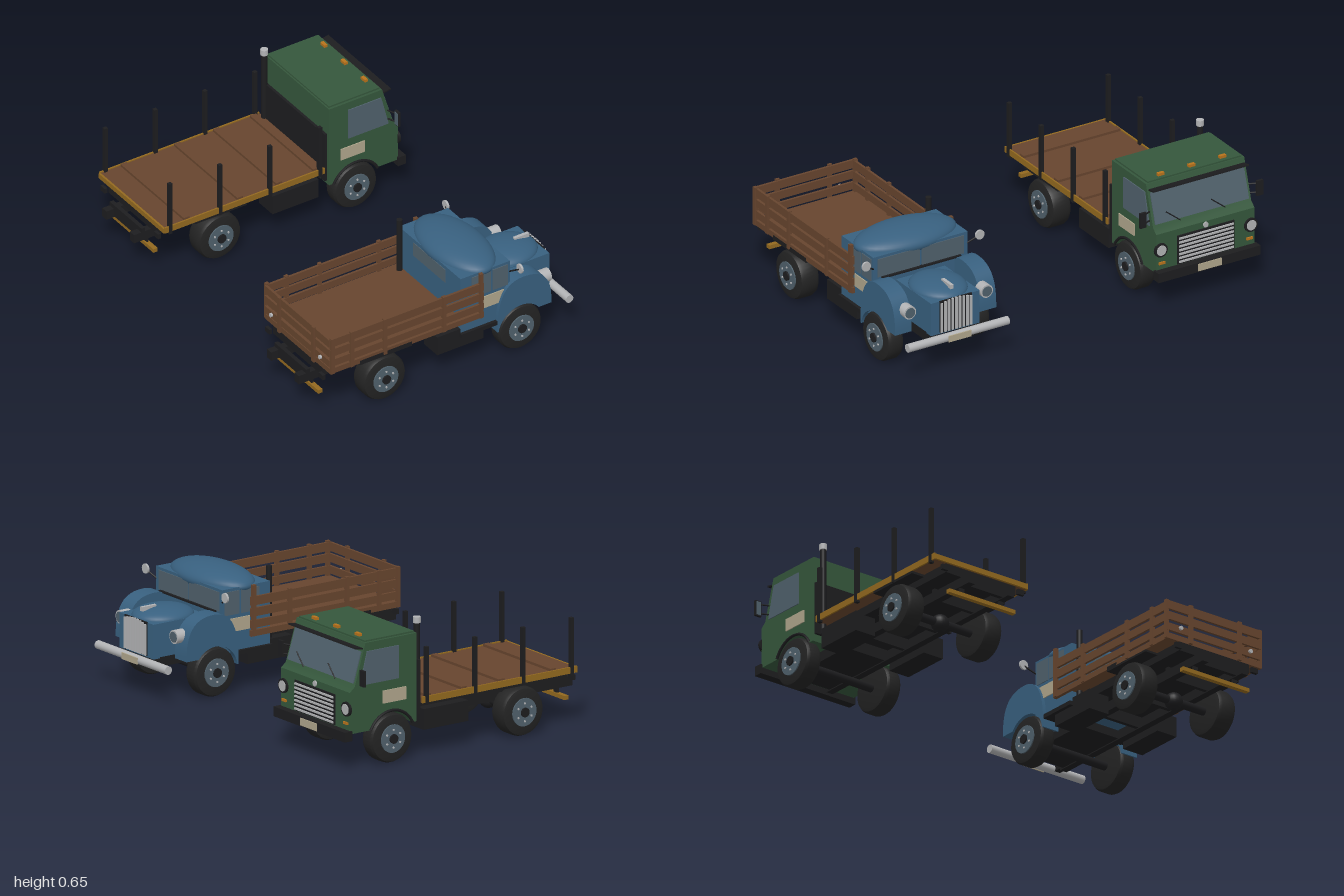
import * as THREE from 'three';
import { toCreasedNormals } from 'three/addons/utils/BufferGeometryUtils.js';

const mat = (name, color) => Object.assign(new THREE.MeshStandardMaterial({ color }), { name });
const M = {
  blue: mat('bluePaint', 0x38607f), green: mat('greenPaint', 0x35573c), wood: mat('wood', 0x67452e),
  black: mat('blackMetal', 0x1d1d1f), tire: mat('tireRubber', 0x232323), glass: mat('glass', 0x50616c),
  chrome: mat('chrome', 0xb2b3b5), cream: mat('creamPlate', 0xb0a68c), gold: mat('ochreTrim', 0x93691f),
  amber: mat('amberLamp', 0xb8731c),
};
const SIDES = [-1, 1];
const WHEEL_Y = 0.115, REAR_X = -0.325, FRONT_X = 0.41;

function add(parent, name, geo, material) {
  const m = new THREE.Mesh(geo, material);
  m.name = name;
  parent.add(m);
  return m;
}
// Box given by its limits on each axis
function box(parent, name, material, x0, x1, y0, y1, z0, z1) {
  const m = add(parent, name, new THREE.BoxGeometry(x1 - x0, y1 - y0, Math.abs(z1 - z0)), material);
  m.position.set((x0 + x1) / 2, (y0 + y1) / 2, (z0 + z1) / 2);
  return m;
}
// Cylinder along the chosen axis
function rod(parent, name, material, axis, r, len, x, y, z, seg = 20) {
  const geo = new THREE.CylinderGeometry(r, r, len, seg);
  if (axis === 'x') geo.rotateZ(Math.PI / 2);
  if (axis === 'z') geo.rotateX(Math.PI / 2);
  const m = add(parent, name, geo, material);
  m.position.set(x, y, z);
  return m;
}
// Thin rod between two points
function strut(parent, name, material, a, b, r = 0.004) {
  const p = new THREE.Vector3(...a), q = new THREE.Vector3(...b);
  return add(parent, name, new THREE.TubeGeometry(new THREE.LineCurve3(p, q), 1, r, 6), material);
}
// Side profile extruded across z
function profile(parent, name, material, shape, z0, z1) {
  const geo = new THREE.ExtrudeGeometry(shape, { depth: z1 - z0, bevelEnabled: false, curveSegments: 16 });
  geo.translate(0, 0, z0);
  return add(parent, name, toCreasedNormals(geo, 0.6), material);
}
function polygon(points) {
  return new THREE.Shape(points.map(p => new THREE.Vector2(...p)));
}
function dome(parent, name, material, x, y, rx, ry, rz) {
  const m = add(parent, name, new THREE.SphereGeometry(1, 40, 24), material);
  m.scale.set(rx, ry, rz);
  m.position.set(x, y, 0);
  return m;
}

function tireGeometry(r, w) {
  const h = w / 2;
  const pts = [[0, -h], [r * 0.8, -h], [r * 0.94, -h * 0.9], [r, -h * 0.6], [r, h * 0.6],
    [r * 0.94, h * 0.9], [r * 0.8, h], [0, h]].map(p => new THREE.Vector2(...p));
  return toCreasedNormals(new THREE.LatheGeometry(pts, 40).rotateX(Math.PI / 2), 0.5);
}
// Wheel facing +z, with its outer face at z = 0
function wheel(w) {
  const g = new THREE.Group();
  g.name = 'wheel';
  add(g, 'tire', tireGeometry(0.115, w), M.tire).position.z = -w / 2;
  rod(g, 'rim', M.glass, 'z', 0.066, 0.008, 0, 0, 0.002, 32);
  rod(g, 'hub', M.black, 'z', 0.022, 0.016, 0, 0, 0.006);
  for (let i = 0; i < 6; i++) {
    const a = (i + 0.5) * Math.PI / 3;
    rod(g, 'wheelBolt', M.chrome, 'z', 0.005, 0.008, 0.042 * Math.cos(a), 0.042 * Math.sin(a), 0.006, 8);
  }
  return g;
}

// Frame, axles, wheels, tanks and rear beam shared by both trucks
function chassis(t) {
  for (const s of SIDES) {
    box(t, 'frameRail', M.black, -0.7, 0.62, 0.145, 0.19, s * 0.095, s * 0.13);
    for (const [x, w] of [[REAR_X, 0.1], [FRONT_X, 0.085]]) {
      const wh = wheel(w);
      wh.position.set(x, WHEEL_Y, s * 0.272);
      if (s < 0) wh.rotation.y = Math.PI;
      t.add(wh);
    }
    box(t, 'rearMudguard', M.black, -0.46, -0.18, 0.238, 0.262, s * 0.165, s * 0.268);
    box(t, 'sideTank', M.black, -0.03, 0.22, 0.118, 0.215, s * 0.14, s * 0.25);
    box(t, 'beamBracket', M.black, -0.628, -0.618, 0.115, 0.15, s * 0.1, s * 0.125);
    box(t, 'tailLamp', M.black, -0.64, -0.625, 0.205, 0.23, s * 0.2, s * 0.235);
  }
  for (const x of [REAR_X, FRONT_X]) rod(t, 'axle', M.black, 'z', 0.02, 0.42, x, WHEEL_Y, 0);
  for (const x of [-0.66, -0.45, -0.19, 0.05]) box(t, 'crossMember', M.black, x, x + 0.02, 0.15, 0.21, -0.13, 0.13);
  add(t, 'differential', new THREE.SphereGeometry(0.042, 20, 14), M.black).position.set(REAR_X, WHEEL_Y, 0);
  box(t, 'bedSill', M.black, -0.62, 0.2, 0.205, 0.248, -0.2, 0.2);
  box(t, 'engine', M.black, 0.2, 0.6, 0.15, 0.2, -0.12, 0.12);
  box(t, 'rearBeam', M.gold, -0.635, -0.612, 0.103, 0.122, -0.19, 0.19);
}

function stakeTruck() {
  const t = new THREE.Group();
  t.name = 'stakeBedTruck';
  chassis(t);
  // Slatted wooden bed
  box(t, 'bedFloor', M.wood, -0.62, 0.21, 0.248, 0.276, -0.268, 0.268);
  const slats = [[0.287, 0.323], [0.341, 0.38], [0.393, 0.434]];
  for (const [y0, y1] of slats) {
    for (const s of SIDES) box(t, 'sideSlat', M.wood, -0.62, 0.21, y0, y1, s * 0.256, s * 0.268);
    box(t, 'tailSlat', M.wood, -0.625, -0.613, y0, y1, -0.262, 0.262);
  }
  for (const s of SIDES) {
    for (const x of [-0.61, -0.505, -0.325, -0.005, 0.196]) {
      box(t, 'stake', M.wood, x - 0.009, x + 0.009, 0.25, x > 0.1 ? 0.49 : 0.44, s * 0.258, s * 0.275);
    }
    box(t, 'tailStake', M.wood, -0.633, -0.62, 0.25, 0.44, s * 0.13, s * 0.15);
    rod(t, 'tailLatch', M.chrome, 'x', 0.01, 0.01, -0.632, 0.31, s * 0.2, 10);
  }
  // Rounded cab
  box(t, 'cabBody', M.blue, 0.095, 0.362, 0.19, 0.488, -0.252, 0.252);
  dome(t, 'cabRoof', M.blue, 0.23, 0.482, 0.14, 0.064, 0.262);
  for (const z of [-0.118, 0.118]) box(t, 'windshield', M.glass, 0.36, 0.366, 0.385, 0.475, z - 0.112, z + 0.112);
  box(t, 'rearWindow', M.glass, 0.092, 0.098, 0.4, 0.47, -0.13, 0.13);
  box(t, 'windshieldTrim', M.black, 0.36, 0.378, 0.378, 0.386, -0.21, 0.21);
  for (const s of SIDES) {
    box(t, 'doorWindow', M.glass, 0.155, 0.258, 0.365, 0.475, s * 0.25, s * 0.256);
    box(t, 'ventWindow', M.glass, 0.268, 0.348, 0.365, 0.475, s * 0.25, s * 0.256);
    box(t, 'doorPlate', M.cream, 0.21, 0.33, 0.285, 0.347, s * 0.25, s * 0.257);
    box(t, 'runningBoard', M.black, 0.09, 0.29, 0.175, 0.195, s * 0.17, s * 0.268);
    strut(t, 'mirrorArm', M.black, [0.36, 0.43, s * 0.25], [0.383, 0.465, s * 0.305]);
    rod(t, 'mirror', M.chrome, 'x', 0.023, 0.01, 0.383, 0.467, s * 0.303);
  }
  rod(t, 'exhaustStack', M.black, 'y', 0.014, 0.36, 0.078, 0.37, -0.222);
  // Front fenders with an open wheel arch
  const fender = new THREE.Shape();
  fender.moveTo(0.283, 0.135);
  fender.bezierCurveTo(0.28, 0.3, 0.32, 0.388, 0.42, 0.388);
  fender.bezierCurveTo(0.53, 0.388, 0.578, 0.33, 0.575, 0.19);
  fender.lineTo(0.508, 0.19);
  fender.absarc(FRONT_X, WHEEL_Y, 0.122, 0.66, Math.PI - 0.16, false);
  for (const s of SIDES) {
    profile(t, 'frontFender', M.blue, fender, s > 0 ? 0.182 : -0.27, s > 0 ? 0.27 : -0.182);
    rod(t, 'headlightRim', M.chrome, 'x', 0.032, 0.05, 0.575, 0.298, s * 0.205, 24);
    rod(t, 'headlightLens', M.glass, 'x', 0.025, 0.006, 0.6, 0.298, s * 0.205, 24);
  }
  // Hood, grille and ornament
  box(t, 'hood', M.blue, 0.36, 0.657, 0.185, 0.348, -0.13, 0.13);
  dome(t, 'hoodTop', M.blue, 0.51, 0.345, 0.148, 0.047, 0.13);
  box(t, 'grilleBack', M.black, 0.655, 0.662, 0.192, 0.35, -0.085, 0.085);
  for (let i = 0; i < 9; i++) {
    const z = (i - 4) * 0.0195;
    box(t, 'grilleBar', M.chrome, 0.66, 0.669, 0.194, 0.352 - 0.012 * (i - 4) ** 2 / 16, z - 0.0055, z + 0.0055);
  }
  box(t, 'hoodOrnament', M.chrome, 0.55, 0.63, 0.378, 0.398, -0.008, 0.008);
  // Rounded chrome bumper
  rod(t, 'bumper', M.chrome, 'z', 0.02, 0.536, 0.675, 0.168, 0);
  box(t, 'numberPlate', M.cream, 0.692, 0.698, 0.152, 0.183, -0.06, 0.06);
  for (const s of SIDES) box(t, 'bumperBracket', M.black, 0.6, 0.67, 0.155, 0.18, s * 0.095, s * 0.125);
  return t;
}

function flatbedTruck() {
  const t = new THREE.Group();
  t.name = 'flatbedTruck';
  chassis(t);
  // Wooden flatbed with battens, trim and steel posts
  box(t, 'bedFloor', M.wood, -0.62, 0.24, 0.25, 0.275, -0.262, 0.262);
  for (const x of [-0.5, -0.21, 0, 0.2]) box(t, 'batten', M.wood, x - 0.016, x + 0.016, 0.275, 0.287, -0.258, 0.258);
  for (const s of SIDES) {
    box(t, 'sideTrim', M.gold, -0.625, 0.24, 0.25, 0.28, s * 0.262, s * 0.27);
    for (const x of [-0.595, -0.325, -0.055, 0.215]) box(t, 'post', M.black, x - 0.009, x + 0.009, 0.24, 0.512, s * 0.255, s * 0.273);
  }
  box(t, 'tailTrim', M.gold, -0.63, -0.62, 0.25, 0.275, -0.265, 0.265);
  box(t, 'headboard', M.black, 0.245, 0.258, 0.2, 0.455, -0.26, 0.26);
  // Cab-over body
  const cab = polygon([[0.268, 0.17], [0.29, 0.17]]);
  cab.absarc(FRONT_X, WHEEL_Y, 0.13, Math.PI - 0.44, 0.44, true);
  for (const p of [[0.642, 0.17], [0.642, 0.365], [0.615, 0.388], [0.555, 0.585], [0.268, 0.585]]) cab.lineTo(...p);
  profile(t, 'cabBody', M.green, cab, -0.262, 0.262);
  box(t, 'roofCap', M.green, 0.275, 0.55, 0.584, 0.593, -0.25, 0.25);
  const screen = add(t, 'windshield', new THREE.BoxGeometry(0.008, 0.15, 0.5), M.glass);
  screen.position.set(0.5905, 0.4725, 0);
  screen.rotation.z = 0.298;
  const visor = box(t, 'sunVisor', M.black, 0.555, 0.608, 0.557, 0.564, -0.255, 0.255);
  visor.rotation.z = 0.2;
  const sideGlass = polygon([[0.37, 0.39], [0.588, 0.39], [0.548, 0.545], [0.37, 0.545]]);
  for (const s of SIDES) {
    profile(t, 'sideWindow', M.glass, sideGlass, s * 0.263 - 0.004, s * 0.263 + 0.004);
    box(t, 'doorPlate', M.cream, 0.33, 0.46, 0.285, 0.345, s * 0.26, s * 0.267);
    // Black arch lip above the front wheel
    const lip = add(t, 'archLip', new THREE.TorusGeometry(0.13, 0.007, 6, 24, Math.PI - 0.88), M.black);
    lip.rotation.z = 0.44;
    lip.position.set(FRONT_X, WHEEL_Y, s * 0.264);
    rod(t, 'headlightRim', M.black, 'x', 0.034, 0.012, 0.645, 0.285, s * 0.24, 24);
    rod(t, 'headlightLens', M.chrome, 'x', 0.025, 0.008, 0.65, 0.285, s * 0.24, 24);
    box(t, 'turnSignal', M.amber, 0.64, 0.649, 0.212, 0.224, s * 0.218, s * 0.25);
    for (const y of [0.415, 0.46]) strut(t, 'mirrorArm', M.black, [0.585, y, s * 0.26], [0.608, y, s * 0.315]);
    box(t, 'mirror', M.black, 0.6, 0.612, 0.4, 0.475, s * 0.295, s * 0.328);
    box(t, 'mirrorGlass', M.glass, 0.597, 0.601, 0.405, 0.47, s * 0.299, s * 0.324);
  }
  // Horizontal-bar grille and round badge
  box(t, 'grilleBack', M.black, 0.641, 0.648, 0.19, 0.333, -0.152, 0.152);
  for (let i = 0; i < 7; i++) box(t, 'grilleBar', M.chrome, 0.646, 0.654, 0.197 + i * 0.0195, 0.206 + i * 0.0195, -0.146, 0.146);
  rod(t, 'noseDisc', M.chrome, 'x', 0.013, 0.01, 0.644, 0.35, 0);
  for (const z of [-0.12, 0.12]) strut(t, 'wiper', M.black, [0.62, 0.395, z], [0.608, 0.45, z + 0.07], 0.003);
  // Bumper, plate and roof lamps
  box(t, 'bumper', M.black, 0.635, 0.678, 0.14, 0.186, -0.272, 0.272);
  box(t, 'numberPlate', M.cream, 0.676, 0.683, 0.146, 0.181, -0.062, 0.062);
  for (const z of [-0.165, 0, 0.165]) box(t, 'roofLamp', M.amber, 0.515, 0.532, 0.59, 0.606, z - 0.017, z + 0.017);
  // Exhaust stack with bright cap
  rod(t, 'exhaustStack', M.black, 'y', 0.014, 0.42, 0.24, 0.41, -0.225);
  rod(t, 'exhaustCap', M.chrome, 'y', 0.018, 0.028, 0.24, 0.634, -0.225);
  return t;
}

export function createModel() {
  const model = new THREE.Group();
  model.name = 'twoTrucks';
  const near = stakeTruck(), far = flatbedTruck();
  near.position.z = 0.672;
  far.position.z = -0.672;
  model.add(near, far);
  return model;
}
